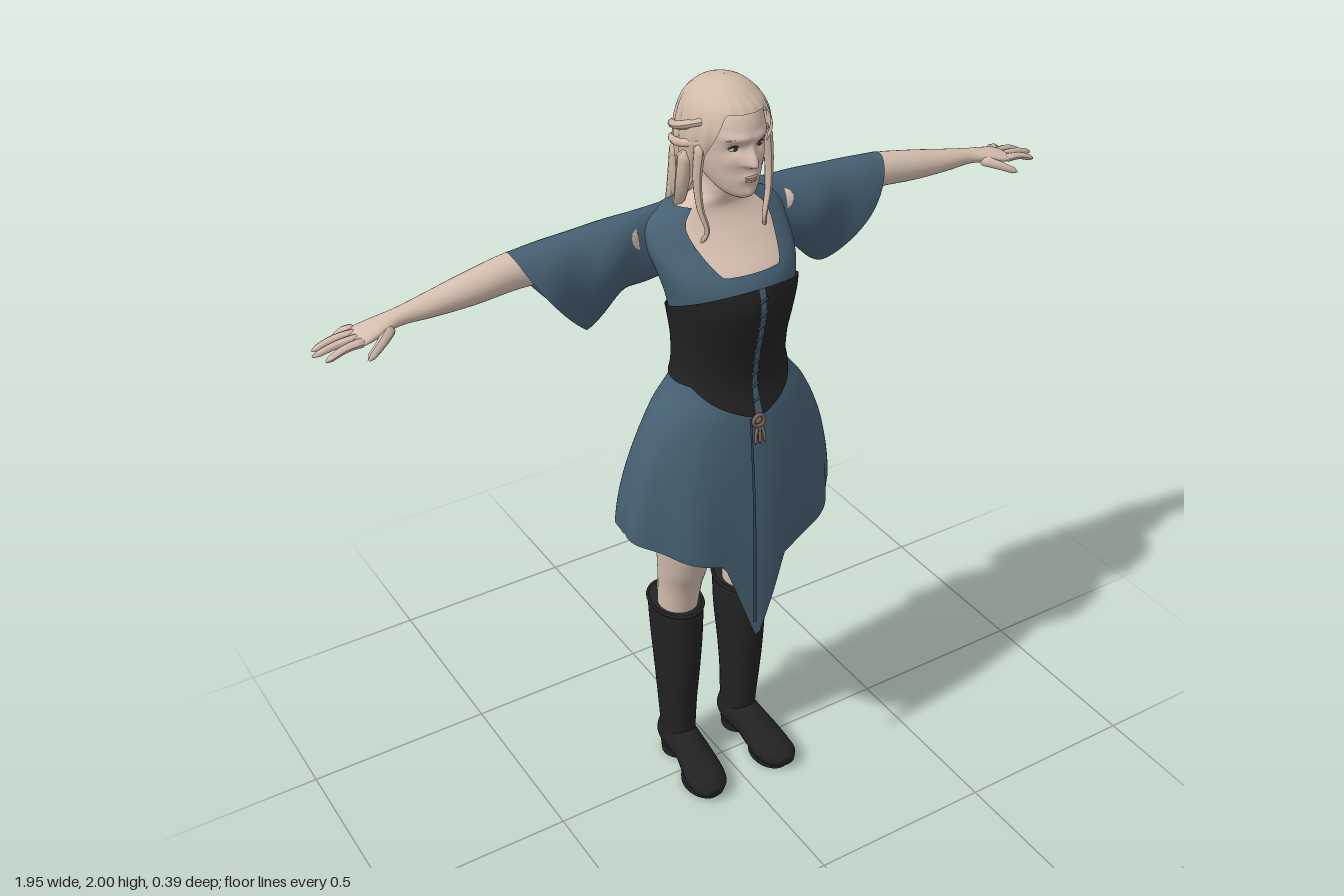
import * as THREE from 'three';

const mat = (name, color, double) => {
  const m = new THREE.MeshStandardMaterial({ color });
  m.name = name;
  if (double) m.side = THREE.DoubleSide;
  return m;
};
const V = (x, y, z) => new THREE.Vector3(x, y, z);

// Smooth interpolation of table rows keyed by their first column
function sample(rows, k) {
  let i = 0;
  while (i < rows.length - 2 && k > rows[i + 1][0]) i++;
  const a = rows[i], b = rows[i + 1], h = b[0] - a[0];
  const t = THREE.MathUtils.clamp((k - a[0]) / h, 0, 1);
  const p = rows[Math.max(i - 1, 0)], q = rows[Math.min(i + 2, rows.length - 1)];
  return a.map((v, c) => {
    const m0 = (b[c] - p[c]) / (b[0] - p[0]) * h, m1 = (q[c] - v) / (q[0] - a[0]) * h;
    const t2 = t * t, t3 = t2 * t;
    return (2 * t3 - 3 * t2 + 1) * v + (t3 - 2 * t2 + t) * m0 + (3 * t2 - 2 * t3) * b[c] + (t3 - t2) * m1;
  });
}

// Surface over u (around) and v (along), optionally closed in u
function grid(P, nu, nv, closed = true) {
  const pos = [], idx = [], cols = closed ? nu : nu + 1;
  for (let j = 0; j <= nv; j++)
    for (let i = 0; i < cols; i++) pos.push(...P(i / nu, j / nv).toArray());
  for (let j = 0; j < nv; j++)
    for (let i = 0; i < nu; i++) {
      const a = j * cols + i, b = j * cols + (i + 1) % cols;
      idx.push(a, b, b + cols, a, b + cols, a + cols);
    }
  const g = new THREE.BufferGeometry();
  g.setAttribute('position', new THREE.Float32BufferAttribute(pos, 3));
  g.setIndex(idx);
  g.computeVertexNormals();
  return g;
}

// Upright shell; rows are [y, half width, front z, back z], lo/hi are edges by angle
function shell(rows, lo, hi, { off = 0, a0 = -Math.PI, a1 = Math.PI, nu = 96, nv = 60, ease = 1, warp } = {}) {
  return grid((u, v) => {
    const a = a0 + (a1 - a0) * u, l = lo(a);
    const y = l + (hi(a) - l) * (1 - (1 - v) ** ease);
    const [, w, f, b] = sample(rows, y);
    const p = V(Math.max(w + off, 0.001) * Math.sin(a), y, (f + b) / 2 + ((f - b) / 2 + off) * Math.cos(a));
    if (warp) warp(p, a);
    return p;
  }, nu, nv, a1 - a0 > 6.28);
}

// Capped limb along an axis; rows are [key, centre u, centre v, radius u, radius v]
const AXES = { x: (k, u, v) => V(k, v, u), y: (k, u, v) => V(u, k, v), z: (k, u, v) => V(v, u, k) };
function limb(axis, rows, nu = 28) {
  const steps = (rows.length - 1) * 5;
  return grid((u, v) => {
    const j = THREE.MathUtils.clamp(Math.round(v * (steps + 2)) - 1, 0, steps);
    const cap = v === 0 || v === 1 ? 0 : 1, s = Math.min(Math.floor(j / 5), rows.length - 2);
    const k = THREE.MathUtils.lerp(rows[s][0], rows[s + 1][0], j / 5 - s);
    const [, cu, cv, ru, rv] = sample(rows, k), a = u * Math.PI * 2;
    return AXES[axis](k, cu + cap * ru * Math.sin(a), cv + cap * rv * Math.cos(a));
  }, nu, steps + 2);
}

// Tube with changing radius along a curve
function strand(points, r0, r1, n = 14, m = 8) {
  const c = new THREE.CatmullRomCurve3(points.map(p => V(...p)));
  const g = new THREE.TubeGeometry(c, n, 1, m), pos = g.attributes.position, p = V();
  for (let i = 0; i < pos.count; i++) {
    const t = Math.floor(i / (m + 1)) / n, o = c.getPointAt(t);
    const r = THREE.MathUtils.lerp(r0, r1, t) * (t === 0 || t === 1 ? 0.3 : 1);
    p.fromBufferAttribute(pos, i).sub(o).multiplyScalar(r).add(o);
    pos.setXYZ(i, p.x, p.y, p.z);
  }
  g.computeVertexNormals();
  return g;
}

function mirrored(g) {
  const m = g.clone().scale(-1, 1, 1), ix = m.index.array;
  for (let i = 0; i < ix.length; i += 3) [ix[i], ix[i + 1]] = [ix[i + 1], ix[i]];
  m.computeVertexNormals();
  return m;
}

const BODY = [[0.55, .29, .2, -.18], [.8, .293, .197, -.178], [.9, .29, .194, -.167], [1, .275, .187, -.15],
  [1.1, .248, .175, -.125], [1.2, .203, .158, -.103], [1.28, .146, .136, -.08], [1.36, .137, .144, -.08],
  [1.44, .147, .162, -.088], [1.5, .158, .17, -.1], [1.56, .172, .152, -.12], [1.62, .182, .085, -.14],
  [1.66, .17, .045, -.135], [1.69, .12, .028, -.11], [1.72, .058, .032, -.08], [1.8, .046, .04, -.07]];
const HEAD = [[1.738, .012, .092, .05], [1.75, .034, .112, .01], [1.775, .054, .12, -.04], [1.81, .068, .121, -.07],
  [1.85, .076, .122, -.09], [1.9, .08, .125, -.1], [1.95, .068, .1, -.085], [1.985, .03, .05, -.04]];
const CAP = [[1.68, .086, .04, -.128], [1.78, .09, .07, -.118], [1.85, .099, .115, -.125], [1.9, .097, .134, -.119],
  [1.95, .083, .114, -.095], [1.98, .056, .075, -.06], [1.993, .032, .045, -.03], [2, .001, .01, .008]];
const MANE = [[1.45, .022, -.155, -.178], [1.52, .052, -.13, -.183], [1.6, .074, -.09, -.172],
  [1.7, .086, -.04, -.132], [1.8, .088, -.02, -.116]];

export function createModel() {
  const skin = mat('skin', 0xd6bfb0), hair = mat('hair', 0xd2bba8, true), blue = mat('blue cloth', 0x466072, true);
  const trim = mat('dark blue trim', 0x35495a, true), black = mat('black leather', 0x222222, true);
  const white = mat('eye white', 0xd8d2cc), iris = mat('iris', 0x3a3430), lip = mat('lips', 0xbd958a), metal = mat('clasp', 0x77665c);
  const model = new THREE.Group();
  const add = (name, g, m) => { const o = new THREE.Mesh(g, m); o.name = name; model.add(o); return o; };
  const pair = (name, g, m) => { add(name + 'Left', g, m); add(name + 'Right', mirrored(g), m); };
  const smooth = THREE.MathUtils.smoothstep;
  const ball = (r, sx, sy, sz, x, y, z) => new THREE.SphereGeometry(r, 16, 12).scale(sx, sy, sz).translate(x, y, z);

  // Dress with scooped neckline, folded skirt and pointed front panel
  const folds = (p, a) => {
    const k = smooth(1.25 - p.y, 0, 0.4) * 0.022;
    const s = 1 + k * Math.sin(9 * a + 1);
    p.x *= s; p.z *= s;
  };
  const hem = a => {
    const s = Math.abs(Math.sin(a)), c = Math.cos(a);
    if (c < 0) return 0.88 + 0.055 * c + 0.006 * Math.sin(9 * a);
    const d = Math.abs(Math.sin(a) + 0.07);
    return Math.min(0.79 + 0.09 * s ** 1.6, 0.56 + 0.85 * d);
  };
  const neckline = a => Math.cos(a) < 0 ? 1.7 : 1.572 + 0.125 * smooth(Math.abs(Math.sin(a)), 0.4, 0.78);
  add('dress', shell(BODY, hem, neckline, { nu: 144, nv: 90, warp: folds }), blue);
  add('skirtSeam', shell(BODY, () => 0.62, () => 1.2, { off: .004, a0: -.11, a1: -.085, nu: 2, warp: folds }), trim);
  add('chestAndNeck', shell(BODY, () => 1.46, () => 1.8, { off: -.006 }), skin);

  // Corset, front lacing and clasp
  const corsetLow = a => 1.283 - 0.085 * Math.max(0, 1 - Math.abs(a) / 1.1);
  add('corset', shell(BODY, corsetLow, a => 1.487 + 0.057 * Math.cos(a), { off: .007, nv: 30 }), black);
  add('lacing', shell(BODY, () => 1.2, () => 1.546, { off: .011, a0: -.05, a1: .05, nu: 4, nv: 30 }), blue);
  for (let i = 0; i < 9; i++) {
    const y = 1.24 + i * 0.034, z = sample(BODY, y)[2] + 0.011;
    add('lace' + i, strand([[-.013, y, z], [0, y + .007, z + .002], [.013, y + .014, z]], .003, .003, 4, 5), trim);
  }
  add('claspRing', new THREE.TorusGeometry(.015, .005, 8, 20).translate(-.003, 1.195, .17), metal);
  add('claspStone', ball(.009, 1, 1, .6, -.003, 1.195, .17), metal);
  for (const x of [-.014, -.003, .008])
    add('claspPendant', strand([[x * .5, 1.18, .171], [x, 1.16, .176], [x * 1.2, 1.135, .178]], .005, .004, 6, 6), metal);

  // Wide sleeves with slanted open cuffs
  pair('sleeve', grid((u, t) => {
    const a = u * Math.PI * 2, c = Math.cos(a);
    const top = 1.686 - 0.024 * t, low = 1.505 - 0.085 * smooth(t, .5, 1.05);
    const x = .1 + t * (.31 + .09 * c - .02 * Math.sin(a) ** 2 * -1);
    const hz = .045 + .025 * smooth(t, 0, .6);
    return V(x, (top + low) / 2 + (top - low) / 2 * c, -.078 + hz * Math.sin(a) * (1 + .06 * Math.sin(t * 14 + 3 * c)));
  }, 48, 24), blue);

  // Arms, palms and fingers
  pair('arm', limb('x', [[.2, -.075, 1.62, .05, .05], [.48, -.08, 1.618, .044, .043], [.6, -.075, 1.606, .04, .037],
    [.7, -.07, 1.597, .031, .027], [.77, -.067, 1.592, .024, .019], [.82, -.063, 1.585, .034, .016],
    [.865, -.06, 1.577, .041, .013], [.885, -.06, 1.574, .034, .008]]), skin);
  [[.915, 1.545, -.113], [.962, 1.553, -.092], [.972, 1.558, -.06], [.955, 1.556, -.028]].forEach((tip, i) => {
    const z = -.092 + .021 * i;
    pair('finger' + i, strand([[.86, 1.578, z], [(.86 + tip[0]) / 2, 1.574, (z + tip[2]) / 2], tip], .0115, .007, 8), skin);
  });
  pair('thumb', strand([[.795, 1.583, -.05], [.83, 1.572, -.018], [.875, 1.552, .008]], .015, .008, 8), skin);

  // Legs and tall boots
  pair('leg', limb('y', [[.5, .1, -.065, .05, .055], [.62, .1, -.045, .056, .062], [.7, .105, -.022, .062, .075],
    [.85, .112, .005, .07, .089], [1.1, .085, .02, .083, .09]]), skin);
  pair('bootShaft', limb('y', [[.07, .098, -.072, .042, .06], [.13, .098, -.073, .044, .063], [.22, .1, -.07, .049, .068],
    [.32, .1, -.068, .056, .076], [.44, .099, -.07, .064, .085], [.545, .1, -.07, .068, .089]]), black);
  pair('bootCuff', new THREE.TorusGeometry(1, .06, 8, 32).rotateX(Math.PI / 2).scale(.067, .08, .088).translate(.1, .543, -.07), black);
  pair('bootFoot', limb('z', [[-.138, .06, .098, .03, .022], [-.125, .062, .098, .055, .036], [-.07, .068, .098, .06, .045],
    [-.01, .065, .1, .055, .045], [.04, .052, .104, .044, .052], [.09, .038, .108, .033, .055],
    [.13, .034, .112, .027, .046], [.155, .032, .115, .012, .022]]), black);
  pair('bootHeel', new THREE.CylinderGeometry(.04, .038, .03, 24).scale(1, 1, 1.15).translate(.098, .015, -.085), black);
  pair('bootSole', new THREE.CylinderGeometry(.05, .05, .016, 28).scale(1, 1, 1.4).translate(.109, .009, .07), black);

  // Head with sculpted nose, eye sockets and mouth
  const bump = (d, w) => Math.exp(-((d / w) ** 2));
  const face = (p, a) => {
    if (Math.cos(a) < 0) return;
    const x = Math.abs(p.x), y = p.y;
    const bridge = smooth(y, 1.817, 1.832) * (1 - smooth(y, 1.832, 1.885));
    p.z += .027 * bump(x, .006 + .009 * bridge) * bridge + .007 * bump(x, .022) * bump(y - 1.797, .01)
      - .012 * bump(x - .031, .016) * bump(y - 1.866, .013) + .006 * bump(x - .03, .03) * bump(y - 1.892, .01)
      + .005 * bump(x, .018) * bump(y - 1.758, .012) + .004 * bump(x - .045, .02) * bump(y - 1.835, .015);
  };
  add('head', shell(HEAD, () => 1.738, () => 1.985, { nu: 120, nv: 90, warp: face }), skin);
  pair('eyeWhite', ball(.012, 1.15, .55, .7, .031, 1.866, .099), white);
  pair('eyeIris', ball(.0055, 1, 1, .6, .031, 1.866, .1055), iris);
  pair('upperLash', strand([[.017, 1.867, .108], [.031, 1.8745, .109], [.046, 1.867, .099]], .002, .002, 8, 5), iris);
  pair('eyebrow', strand([[.014, 1.884, .122], [.032, 1.892, .119], [.053, 1.886, .101]], .003, .002, 8, 5), hair);
  add('upperLip', ball(.017, 1, .22, .35, 0, 1.8, .123), lip);
  add('lowerLip', ball(.015, 1, .28, .4, 0, 1.792, .122), lip);
  pair('ear', ball(.022, .4, 1, .7, .08, 1.84, .01), skin);

  // Hair: cap with swept hairline, long mane, loose locks
  const ripple = n => (p, a) => {
    const s = 1 + .025 * Math.sin(n * a + 22 * p.y) * smooth(2 - p.y, 0, .12);
    p.x *= s; p.z += (s - 1) * .12 * Math.cos(a);
  };
  const hairline = a => 1.945 - .25 * smooth(Math.abs(a), .55, 1.5);
  add('hairCap', shell(CAP, hairline, () => 2, { nu: 120, nv: 40, ease: 2, warp: ripple(20) }), hair);
  add('mane', shell(MANE, a => 1.46 + .012 * Math.sin(8 * a), () => 1.8, { nu: 80, nv: 40, warp: ripple(12) }), hair);
  for (let i = 0; i < 9; i++) {
    const x = (i - 4) * .019, w = .008 * Math.sin(i * 2.4), b = .02 * (x / .076) ** 2;
    add('backLock' + i, strand([[x, 1.83, -.113 + b * 2], [x * 1.1 + w, 1.7, -.126 + b * 2], [x - w, 1.6, -.168 + b * 2],
      [x * .8 + w, 1.53, -.178 + b], [x * .55, 1.47 + .012 * Math.cos(i * 2), -.177 + b]], .013, .006, 24), hair);
  }
  pair('sideLock', strand([[.086, 1.87, .05], [.094, 1.79, .05], [.09, 1.72, .055], [.076, 1.66, .062], [.086, 1.63, .05]], .014, .005, 20), hair);
  pair('shoulderLock', strand([[.092, 1.84, 0], [.098, 1.76, -.01], [.09, 1.7, -.04], [.08, 1.62, -.13]], .02, .008, 20), hair);

  // Braids from the temples meeting in one at the back
  for (const k of [0, 1])
    pair('templeBraid' + k, strand([[.078, 1.925 - k * .05, .06], [.099, 1.895 - k * .04, -.01], [.085, 1.875 - k * .035, -.07],
      [.045, 1.85 - k * .03, -.117], [0, 1.825 - k * .03, -.131]], .01, .01, 24), hair);
  for (let i = 0; i < 10; i++)
    add('backBraid' + i, ball(.017, 1, .8, .7, i % 2 ? .008 : -.008, 1.84 - i * .019, -.13 - .003 * i), hair);
  return model;
}
